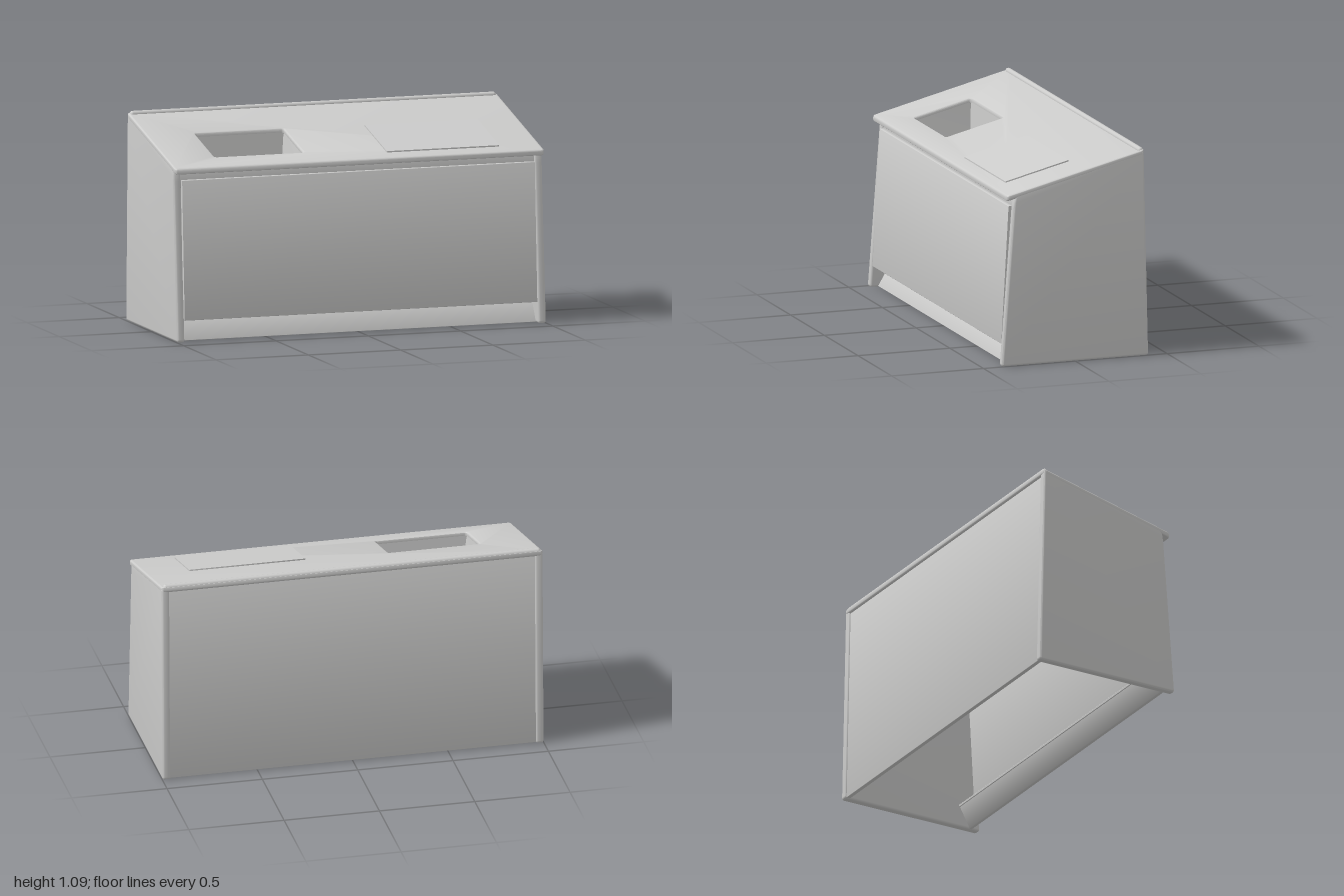
import * as THREE from 'three';
import { toCreasedNormals } from 'three/addons/utils/BufferGeometryUtils.js';

const grey = new THREE.MeshStandardMaterial({ color: 0xcccccb, side: THREE.DoubleSide });
grey.name = 'light grey';

// Height of the sloping worktop at depth z
const topY = (z) => 0.986 - 0.25 * z;

// Closed outline with rounded corners
function roundedPath(points, r, PathType = THREE.Shape) {
  const path = new PathType();
  const p = points.map(([x, y]) => new THREE.Vector2(x, y));
  p.forEach((c, i) => {
    const prev = p[(i + p.length - 1) % p.length], next = p[(i + 1) % p.length];
    const a = c.clone().add(prev.clone().sub(c).setLength(r));
    const b = c.clone().add(next.clone().sub(c).setLength(r));
    if (i === 0) path.moveTo(a.x, a.y); else path.lineTo(a.x, a.y);
    path.quadraticCurveTo(c.x, c.y, b.x, b.y);
  });
  path.closePath();
  return path;
}

// Rectangle in plan, given as x and z ranges (drawn with v = -z)
const plan = (x0, x1, z0, z1, r, Type) =>
  roundedPath([[x0, -z1], [x1, -z1], [x1, -z0], [x0, -z0]], r, Type);

function extrude(shape, depth, bevel) {
  const g = new THREE.ExtrudeGeometry(shape, {
    depth: depth - 2 * bevel, curveSegments: 5, bevelEnabled: bevel > 0,
    bevelSize: bevel, bevelThickness: bevel, bevelOffset: -bevel, bevelSegments: 3,
  });
  return g.translate(0, 0, bevel);
}

// Side profile given as [z, y] points, swept from x0 to x1
function profile(points, x0, x1, r, bevel) {
  const g = extrude(roundedPath(points.map(([z, y]) => [-z, y]), r), x1 - x0, bevel);
  g.rotateY(Math.PI / 2).translate(x0, 0, 0);
  return toCreasedNormals(g, 0.6);
}

// Plan shape raised into a slab whose top lies `lift` above the sloping worktop
function slopedSlab(shape, depth, bevel, lift) {
  const g = extrude(shape, depth, bevel).rotateX(-Math.PI / 2);
  const p = g.attributes.position;
  for (let i = 0; i < p.count; i++) {
    p.setY(i, p.getY(i) - depth + lift + topY(p.getZ(i)));
  }
  g.computeVertexNormals();
  return toCreasedNormals(g, 0.6);
}

export function createModel() {
  const group = new THREE.Group();
  const add = (name, geometry) => {
    const mesh = new THREE.Mesh(geometry, grey);
    mesh.name = name;
    group.add(mesh);
  };

  // Tapered end panels
  const endPoints = [[0.4, 0], [-0.4, 0], [-0.376, 1.072], [0.325, 0.897], [0.335, 0.84]];
  add('leftEndPanel', profile(endPoints, 0.958, 1, 0.015, 0.012));
  add('rightEndPanel', profile(endPoints, -1, -0.958, 0.015, 0.012));

  // Front, back and the strip under the worktop lip
  add('frontPanel', profile(
    [[0.387, 0.11], [0.347, 0.83], [0.325, 0.83], [0.365, 0.11]], -0.955, 0.955, 0.004, 0));
  add('frontRail', profile(
    [[0.328, 0.79], [0.325, 0.885], [0.305, 0.885], [0.308, 0.79]], -0.97, 0.97, 0.002, 0));
  add('backPanel', profile(
    [[-0.392, 0.005], [-0.368, 1.06], [-0.345, 1.055], [-0.369, 0.005]], -0.97, 0.97, 0.004, 0));

  // Slanted kick board under the front panel
  add('kickBoard', profile(
    [[0.355, 0.003], [0.29, 0.12], [0.275, 0.12], [0.338, 0.003]], -0.965, 0.965, 0.003, 0));
  add('kickLedge', profile(
    [[0.375, 0.11], [0.375, 0.122], [0.275, 0.122], [0.275, 0.11]], -0.965, 0.965, 0.002, 0));

  // Sloping worktop with the tray opening
  const top = plan(-1, 1, -0.378, 0.372, 0.02);
  top.holes.push(plan(-0.74, -0.26, -0.07, 0.24, 0.012, THREE.Path));
  add('worktop', slopedSlab(top, 0.03, 0.008, 0));
  add('backBead', new THREE.CapsuleGeometry(0.016, 1.95, 4, 12)
    .rotateZ(Math.PI / 2).translate(0, 1.073, -0.361));

  // Raised plate on the worktop
  add('raisedPlate', slopedSlab(plan(0.17, 0.78, -0.045, 0.3, 0.005), 0.012, 0, 0.007));

  // Tray walls: an open box narrowing to a level floor
  const floorY = 0.8;
  const walls = new THREE.BoxGeometry(1, 1, 1);
  const index = Array.from(walls.index.array);
  walls.setIndex([...index.slice(0, 12), ...index.slice(24)]);
  walls.clearGroups();
  const p = walls.attributes.position;
  for (let i = 0; i < p.count; i++) {
    const up = p.getY(i) > 0;
    const x = -0.5 + p.getX(i) * (up ? 0.48 : 0.45);
    const z = 0.085 + p.getZ(i) * (up ? 0.31 : 0.29);
    p.setXYZ(i, x, up ? topY(z) - 0.02 : floorY, z);
  }
  walls.computeVertexNormals();
  add('trayWalls', walls);

  // Tray floor with a shallow rounded slot
  const floor = plan(-0.728, -0.272, -0.062, 0.232, 0.004);
  const slot = new THREE.Path();
  slot.absarc(-0.575, -0.112, 0.052, Math.PI / 2, Math.PI * 1.5);
  slot.absarc(-0.415, -0.112, 0.052, -Math.PI / 2, Math.PI / 2);
  slot.closePath();
  floor.holes.push(slot);
  add('trayFloor', extrude(floor, 0.02, 0).rotateX(-Math.PI / 2).translate(0, floorY - 0.018, 0));
  add('slotBase', new THREE.BoxGeometry(0.32, 0.008, 0.14).translate(-0.495, floorY - 0.021, 0.112));

  return group;
}
